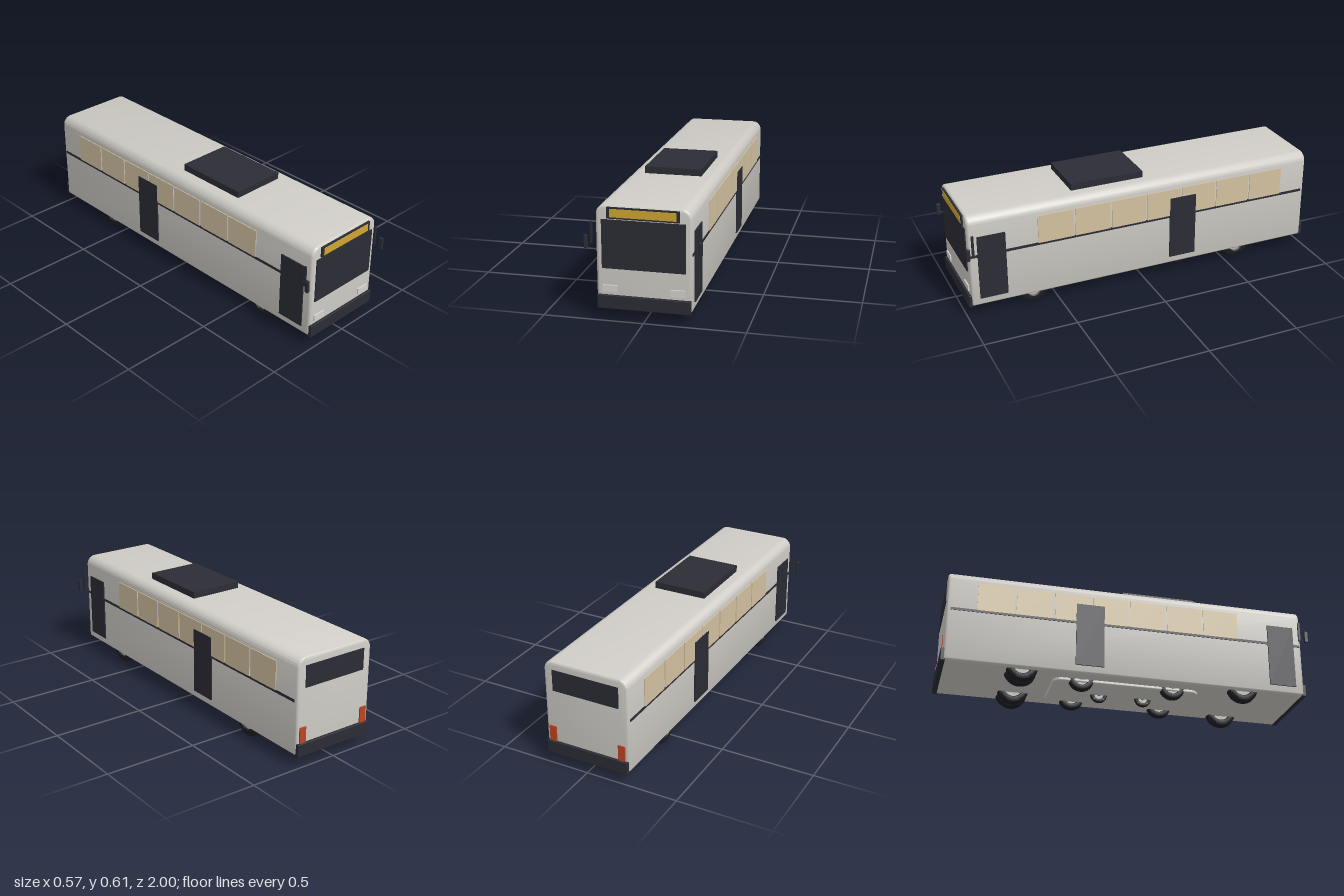
import * as THREE from 'three';
import { toCreasedNormals } from 'three/addons/utils/BufferGeometryUtils.js';
import { RoundedBoxGeometry } from 'three/addons/geometries/RoundedBoxGeometry.js';

const paint = (name, color) => {
  const m = new THREE.MeshStandardMaterial({ color });
  m.name = name;
  return m;
};

export function createModel() {
  const bus = new THREE.Group();
  bus.name = 'bus';

  const body = paint('bodyPaint', 0xd0cdc7);
  const dark = paint('darkTrim', 0x2b2c35);
  const glass = paint('sideGlass', 0xd3c2a1);
  const amber = paint('amberSign', 0xd0a632);
  const red = paint('tailRed', 0xbd4522);
  const lamp = paint('headlightLens', 0xd6d4cf);
  const rubber = paint('tyreRubber', 0x1d1e23);
  const metal = paint('hubMetal', 0xb4b4b4);

  const add = (name, geometry, material, x = 0, y = 0, z = 0, parent = bus) => {
    const mesh = new THREE.Mesh(geometry, material);
    mesh.name = name;
    mesh.position.set(x, y, z);
    parent.add(mesh);
    return mesh;
  };
  // Box given by its limits on each axis
  const box = (name, material, [x0, x1], [y0, y1], [z0, z1], round = 0) => {
    const size = [x1 - x0, y1 - y0, z1 - z0];
    const g = round ? new RoundedBoxGeometry(...size, 3, round) : new THREE.BoxGeometry(...size);
    return add(name, g, material, (x0 + x1) / 2, (y0 + y1) / 2, (z0 + z1) / 2);
  };
  // The same box on both sides of the bus
  const pair = (name, material, [x0, x1], y, z, round) => {
    box(name + 'Left', material, [x0, x1], y, z, round);
    box(name + 'Right', material, [-x1, -x0], y, z, round);
  };
  // Rectangle with separate top and bottom corner radii
  const roundedRect = (w, y0, y1, top, bottom) => {
    const s = new THREE.Shape();
    s.moveTo(-w + bottom, y0);
    s.lineTo(w - bottom, y0);
    s.absarc(w - bottom, y0 + bottom, bottom, -Math.PI / 2, 0);
    s.absarc(w - top, y1 - top, top, 0, Math.PI / 2);
    s.absarc(-w + top, y1 - top, top, Math.PI / 2, Math.PI);
    s.absarc(-w + bottom, y0 + bottom, bottom, Math.PI, Math.PI * 1.5);
    return s;
  };

  // Body shell with rounded roof edges
  const bevel = 0.014;
  const shell = new THREE.ExtrudeGeometry(
    roundedRect(0.234 - bevel, 0.06 + bevel, 0.574 - bevel, 0.036, 0.004),
    { depth: 1.963 - 2 * bevel, bevelSize: bevel, bevelThickness: bevel, bevelSegments: 4, curveSegments: 8 });
  add('bodyShell', toCreasedNormals(shell, 0.6), body, 0, 0, -0.986 + bevel);

  // Roof unit
  box('roofUnit', dark, [-0.149, 0.149], [0.572, 0.61], [-0.022, 0.386]);

  // Front
  box('windscreen', dark, [-0.205, 0.205], [0.26, 0.503], [0.974, 0.983]);
  box('signFrame', dark, [-0.177, 0.177], [0.509, 0.565], [0.972, 0.986]);
  box('signPanel', amber, [-0.162, 0.162], [0.517, 0.558], [0.98, 0.988]);
  pair('headlight', lamp, [0.132, 0.203], [0.142, 0.176], [0.975, 0.984]);
  box('frontBumper', dark, [-0.23, 0.23], [0.058, 0.126], [0.965, 0.99], 0.003);

  // Rear
  box('rearWindow', dark, [-0.185, 0.185], [0.415, 0.53], [-0.99, -0.982]);
  pair('tailLight', red, [0.177, 0.215], [0.124, 0.21], [-0.993, -0.984]);
  box('rearBumper', dark, [-0.23, 0.23], [0.058, 0.126], [-1, -0.975], 0.003);

  // Mirrors and their arms
  pair('mirrorArm', dark, [0.257, 0.266], [0.374, 0.484], [0.953, 0.965]);
  pair('mirror', dark, [0.272, 0.287], [0.36, 0.424], [0.98, 1], 0.002);

  // Side windows, waist stripe and doors
  for (let i = 0; i < 7; i++) {
    const z = 0.604 - i * 0.206;
    pair('sideWindow' + (i + 1), glass, [0.231, 0.2385], [0.357, 0.512], [z - 0.196, z]);
  }
  pair('waistStripe', dark, [0.23, 0.237], [0.345, 0.359], [-0.967, 0.967]);
  pair('frontDoor', dark, [0.232, 0.2405], [0.104, 0.46], [0.78, 0.93]);
  pair('middleDoor', dark, [0.232, 0.2405], [0.104, 0.46], [-0.3, -0.147]);

  // Wheel with rounded tyre shoulders and hub discs
  const wheel = (name, x, z, r, w) => {
    const g = new THREE.Group();
    g.name = name;
    g.position.set(x, r, z);
    g.rotation.z = -Math.PI / 2;
    bus.add(g);
    const h = w / 2, c = w * 0.25;
    const profile = [
      [r * 0.55, -h * 0.7], [r * 0.62, -h], [r - c, -h], [r - c * 0.3, -h + c * 0.3], [r, -h + c],
      [r, h - c], [r - c * 0.3, h - c * 0.3], [r - c, h], [r * 0.62, h], [r * 0.55, h * 0.7],
    ].map(p => new THREE.Vector2(...p));
    add('tyre', toCreasedNormals(new THREE.LatheGeometry(profile, 32), 0.8), rubber, 0, 0, 0, g);
    add('rim', new THREE.CylinderGeometry(r * 0.56, r * 0.56, w * 0.72, 24), metal, 0, 0, 0, g);
    add('hub', new THREE.CylinderGeometry(r * 0.2, r * 0.2, w * 0.95, 16), rubber, 0, 0, 0, g);
  };
  for (const [side, label] of [[1, 'Left'], [-1, 'Right']]) {
    wheel('frontWheel' + label, side * 0.187, 0.632, 0.086, 0.055);
    wheel('rearOuterWheel' + label, side * 0.187, -0.575, 0.086, 0.055);
    wheel('rearInnerWheel' + label, side * 0.128, -0.575, 0.086, 0.055);
    wheel('trolleyFrontWheel' + label, side * 0.136, 0.25, 0.07, 0.045);
    wheel('trolleyRearWheel' + label, side * 0.136, -0.25, 0.07, 0.045);
  }
  wheel('centreFrontWheel', 0, 0.123, 0.046, 0.019);
  wheel('centreRearWheel', 0, -0.123, 0.046, 0.019);

  // Underfloor pan
  const pan = new THREE.ExtrudeGeometry(roundedRect(0.147, -0.39, 0.39, 0.04, 0.04),
    { depth: 0.008, bevelSize: 0.01, bevelThickness: 0.008, bevelSegments: 3, curveSegments: 6 });
  add('underfloorPan', toCreasedNormals(pan, 0.6), body, 0, 0.058, 0).rotation.x = Math.PI / 2;

  return bus;
}
